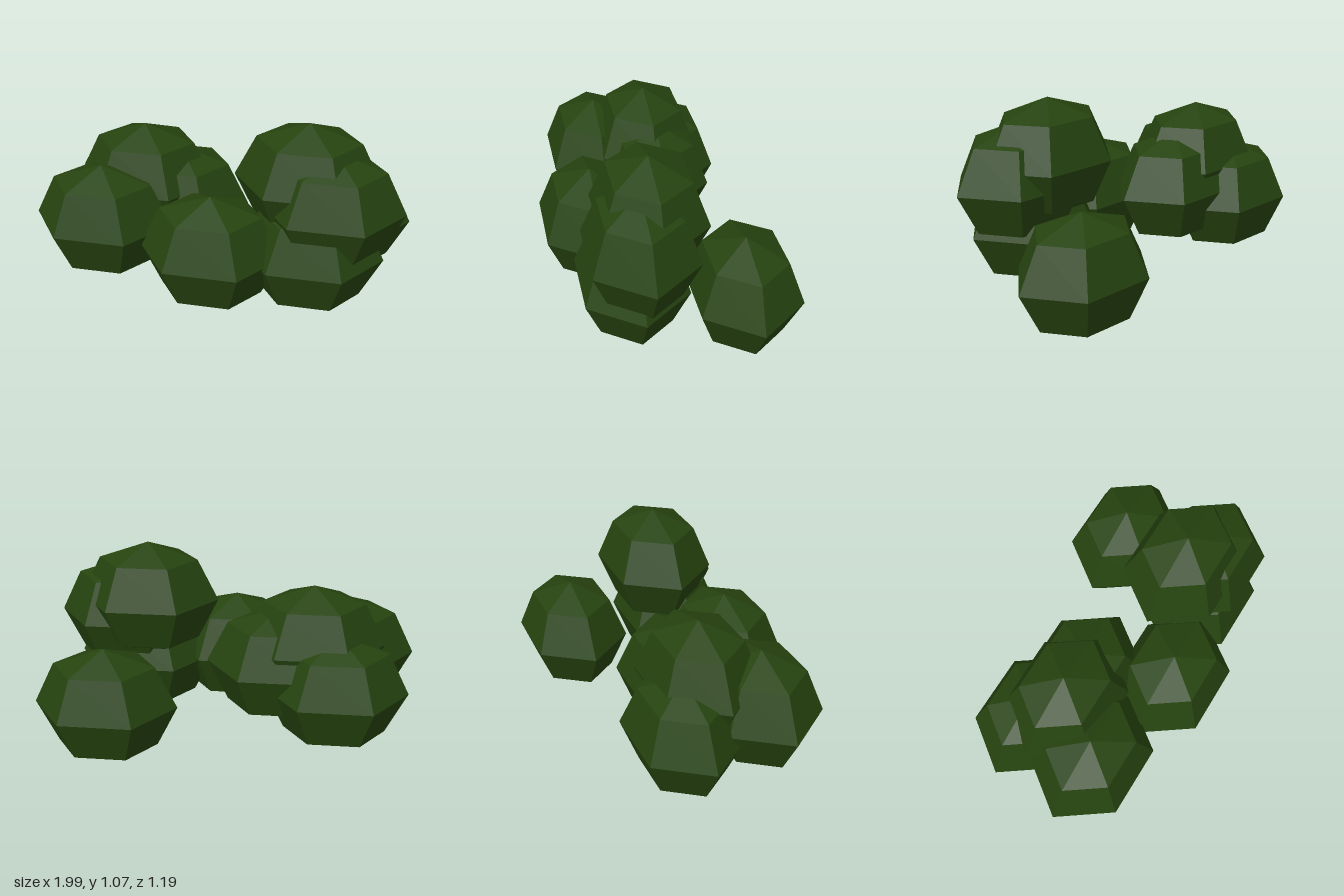
import * as THREE from 'three';

// Low-poly bush: a cluster of identical faceted, slightly widened leaf clumps
export function createModel() {
  const group = new THREE.Group();
  group.name = 'bush';

  const foliage = new THREE.MeshStandardMaterial({ color: 0x26430f, flatShading: true });
  foliage.name = 'dark green foliage';

  // Six sides around, four bands high
  const clump = new THREE.SphereGeometry(1, 6, 4);
  clump.scale(0.378, 0.315, 0.3025);

  // Clump centres
  const clumps = {
    frontClump: [-0.005, 0.405, 0.333],
    frontRightClump: [-0.617, 0.457, 0.208],
    backRightClump: [-0.573, 0.385, -0.188],
    topRightClump: [-0.445, 0.6, -0.05],
    middleClump: [-0.263, 0.48, -0.073],
    frontLeftClump: [0.495, 0.387, 0.215],
    upperLeftClump: [0.588, 0.645, 0.187],
    topLeftClump: [0.455, 0.755, 0.118],
    backLeftClump: [0.617, 0.318, -0.335],
  };

  for (const [name, centre] of Object.entries(clumps)) {
    const mesh = new THREE.Mesh(clump, foliage);
    mesh.name = name;
    mesh.position.set(...centre);
    group.add(mesh);
  }
  return group;
}
